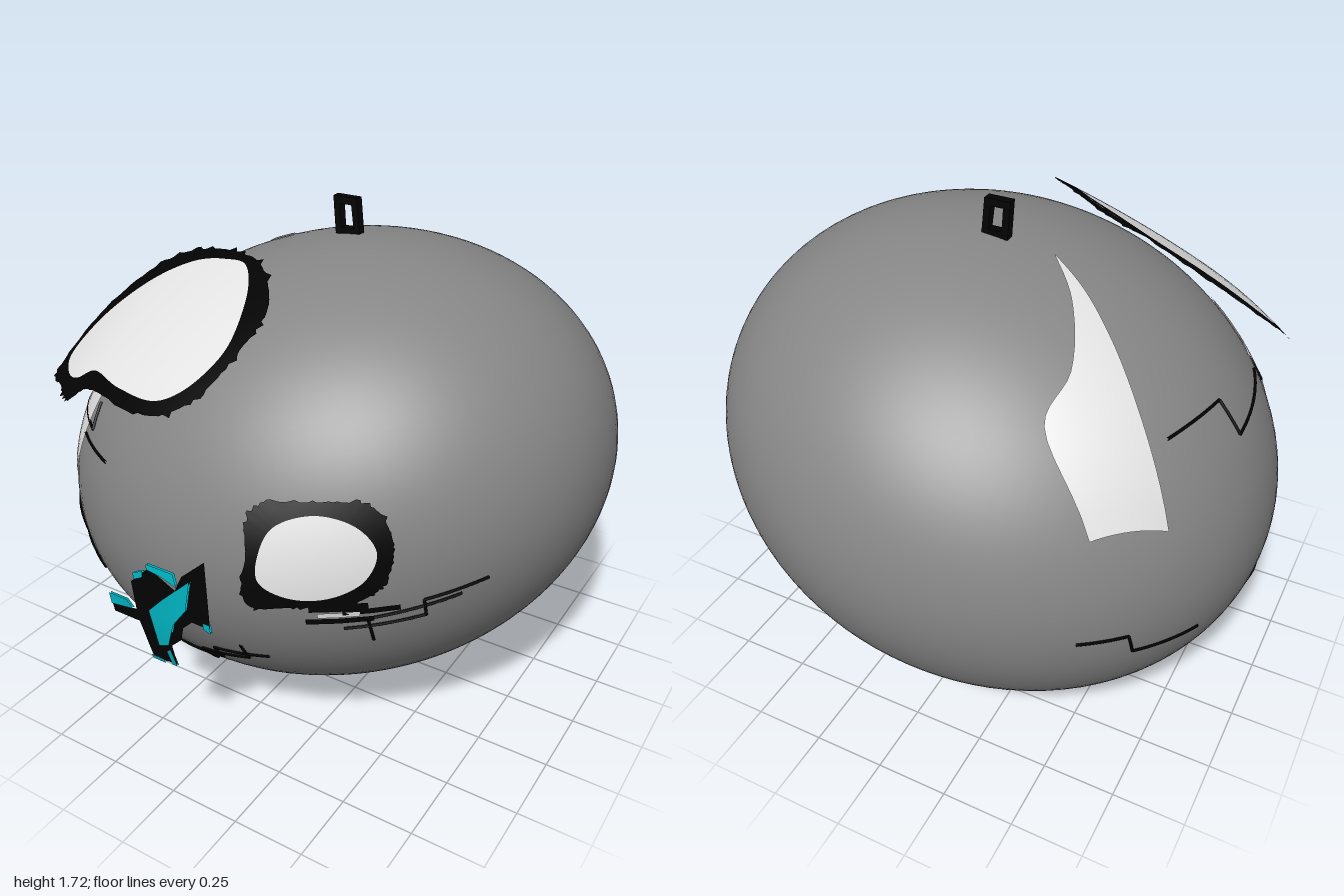
import * as THREE from 'three';

const mat = (name, color) => new THREE.MeshStandardMaterial({ name, color, side: THREE.DoubleSide });

// Body: an ellipsoid tilted about z
const R = new THREE.Vector3(0.995, 0.778, 0.932), TILT = 0.304;
const CENTRE = new THREE.Vector3(0, 0.8, -0.065);
const c = Math.cos(TILT), s = Math.sin(TILT);
const A = (c / R.x) ** 2 + (s / R.y) ** 2;
const C = (s / R.x) ** 2 + (c / R.y) ** 2;
const B = c * s * (1 / R.x ** 2 - 1 / R.y ** 2);

// Points on the body seen from the front, or from above (side 1) or below (side -1)
const front = (lift) => (x, y) => {
  const d = y - CENTRE.y;
  const q = A * x * x + 2 * B * x * d + C * d * d;
  return new THREE.Vector3(x, y, CENTRE.z + R.z * Math.sqrt(Math.max(0, lift * lift - q)));
};
const vertical = (side, lift) => (x, z) => {
  const k = lift * lift - ((z - CENTRE.z) / R.z) ** 2;
  const root = Math.sqrt(Math.max(0, B * B * x * x - C * (A * x * x - k)));
  return new THREE.Vector3(x, CENTRE.y + (-B * x + side * root) / C, z);
};
// Push a point radially onto the body
const snap = (p, lift) => {
  const v = p.clone().sub(CENTRE);
  const q = A * v.x * v.x + 2 * B * v.x * v.y + C * v.y * v.y + (v.z / R.z) ** 2;
  return v.multiplyScalar(lift / Math.sqrt(q)).add(CENTRE);
};

// Skin between two edges of equal length, placed by a surface rule
function loft(from, to, place, rows) {
  const pos = [], index = [], n = from.length;
  for (let r = 0; r <= rows; r++) {
    for (let i = 0; i < n; i++) {
      const t = r / rows;
      const p = place(from[i][0] * (1 - t) + to[i][0] * t, from[i][1] * (1 - t) + to[i][1] * t);
      pos.push(p.x, p.y, p.z);
      if (r < rows && i < n - 1) {
        const a = r * n + i;
        index.push(a, a + n, a + 1, a + 1, a + n, a + n + 1);
      }
    }
  }
  const g = new THREE.BufferGeometry();
  g.setAttribute('position', new THREE.Float32BufferAttribute(pos, 3));
  g.setIndex(index);
  g.computeVertexNormals();
  return g;
}

const smooth = (pts, n, closed) => new THREE.CatmullRomCurve3(
  pts.map(([x, y]) => new THREE.Vector3(x, y, 0)), closed, 'centripetal').getPoints(n).map((p) => [p.x, p.y]);
const ellipse = (x, z, rx, rz) => Array.from({ length: 73 }, (_, i) => {
  const a = i / 72 * Math.PI * 2;
  return [x + rx * Math.cos(a), z + rz * Math.sin(a)];
});

export function createModel() {
  const model = new THREE.Group();
  const grey = mat('body grey', 0x868686), black = mat('black', 0x030303), white = mat('eye white', 0xfafafa);
  const shine = mat('highlight', 0xe4e4e4), cyan = mat('nose cyan', 0x00bccb);
  const teal = mat('mouth teal', 0x00cdd4), purple = mat('mouth purple', 0x9a2ca0);
  const add = (name, geometry, material, parent = model) => {
    const m = new THREE.Mesh(geometry, material);
    m.name = name;
    parent.add(m);
    return m;
  };
  let seed = 7;
  const rand = () => (seed = (seed * 16807) % 2147483647) / 2147483647;

  const body = add('body', new THREE.SphereGeometry(1, 96, 64), grey);
  body.scale.copy(R);
  body.rotation.z = TILT;
  body.position.copy(CENTRE);

  // Eyes: white plate with a ragged black rim, standing clear of the body
  function eye(name, centre, inner, outer, place) {
    const g = new THREE.Group();
    g.name = name;
    model.add(g);
    const a = smooth(inner, 140, true);
    const b = smooth(outer, 140, true).map(([x, y]) => {
      const k = 1 + 0.06 * rand() ** 4;
      return [centre[0] + (x - centre[0]) * k, centre[1] + (y - centre[1]) * k];
    });
    b[140] = b[0];
    add('eyeWhite', loft(a.map(() => centre), a, place, 8), white, g);
    add('eyeRim', loft(a, b, place, 2), black, g);
  }
  eye('rightEye', [-0.37, 1.38],
    [[-.79, 1.175], [-.755, 1.265], [-.6, 1.41], [-.42, 1.51], [-.25, 1.56], [-.12, 1.575], [-.03, 1.53],
      [.01, 1.44], [-.04, 1.35], [-.15, 1.275], [-.36, 1.245], [-.54, 1.23], [-.62, 1.185], [-.7, 1.165]],
    [[-.825, 1.115], [-.785, 1.275], [-.61, 1.45], [-.41, 1.54], [-.2, 1.585], [-.05, 1.59], [.08, 1.53],
      [.06, 1.44], [0, 1.33], [-.13, 1.245], [-.36, 1.215], [-.53, 1.19], [-.6, 1.14], [-.72, 1.13]],
    (x, y) => {
      const dx = x + 0.37, r2 = (dx / 0.47) ** 2 + ((y - 1.38 - 0.4 * dx) / 0.2) ** 2;
      const z = 0.83 + 0.66 * (x + 0.14) - 1.6 * (y - 1.23) + 0.06 * (1 - Math.min(r2, 2));
      return new THREE.Vector3(x, y, z - 0.5 * Math.max(0, -0.5 - x) ** 2);
    });
  const leftPlace = (x, y) => {
    const p = front(1)(x, y);
    p.z += 0.09 - 0.15 * (x - 0.27);
    return p;
  };
  eye('leftEye', [0.44, 0.96],
    [[.33, 1.05], [.425, 1.085], [.53, 1.05], [.585, .97], [.56, .88], [.48, .83], [.385, .83], [.305, .88], [.3, .97]],
    [[.27, 1.095], [.42, 1.12], [.56, 1.1], [.62, .98], [.6, .86], [.53, .805], [.4, .8], [.275, .8], [.268, .96]],
    leftPlace);
  // Dashes under the left eye
  for (const [x0, x1, y, h, m] of [[.43, .57, .78, .027, black], [.51, .64, .765, .02, black],
    [.42, .58, .733, .02, black], [.45, .55, .757, .018, shine]]) {
    const row = (v) => [[x0, v], [(x0 + x1) / 2, v], [x1, v]];
    add('underEyeDash', loft(row(y), row(y + h), leftPlace, 1), m);
  }

  // Highlights on the side and back
  add('sideHighlight', loft(smooth([[-.75, 1.13], [-.54, 1.19]], 8), smooth([[-.82, .87], [-.67, .815]], 8), front(1.006), 16), shine);
  add('backHighlight', loft(
    smooth([[-.19, -.09], [-.33, -.17], [-.475, -.28], [-.63, -.41], [-.78, -.53]], 24),
    smooth([[-.19, -.09], [-.32, -.24], [-.415, -.45], [-.41, -.615], [-.605, -.715]], 24), vertical(1, 1.006), 12), shine);

  // Mouth: disc, ring and outlines on the underside
  const disc = ellipse(-.05, .195, .305, .285), rim = ellipse(-.055, .188, .395, .367);
  add('mouth', loft(disc.map(() => [-.05, .195]), disc, vertical(-1, 1.003), 10), purple);
  add('mouthRing', loft(disc, rim, vertical(-1, 1.003), 4), teal);
  add('mouthInnerLine', loft(ellipse(-.05, .195, .302, .282), ellipse(-.05, .195, .308, .288), vertical(-1, 1.005), 1), black);
  add('mouthOuterLine', loft(rim, ellipse(-.055, .188, .4, .372), vertical(-1, 1.004), 1), black);

  // Nose: layered plates bent back toward the bottom, the cyan showing on both faces
  const nose = new THREE.Group();
  nose.name = 'nose';
  model.add(nose);
  function plate(name, pts, material, lifts) {
    for (const lift of lifts) {
      const g = new THREE.ShapeGeometry(new THREE.Shape(pts.map(([x, y]) => new THREE.Vector2(x, y))));
      const p = g.attributes.position;
      for (let i = 0; i < p.count; i++) p.setZ(i, 0.994 + lift - 0.46 * Math.max(0, 0.85 - p.getY(i)) ** 2);
      g.computeVertexNormals();
      add(name, g, material, nose);
    }
  }
  const both = [0.004, -0.004];
  plate('noseBlack', [[-.1, .79], [-.06, .83], [-.03, .86], [.01, .85], [.07, .82], [.1, .88], [.187, .96], [.187, .72], [.12, .72],
    [.08, .68], [.06, .62], [.01, .57], [0, .47], [-.1, .46], [-.1, .63], [-.2, .63], [-.2, .67], [-.1, .68]], black, [0]);
  plate('noseCyan', [[-.045, .545], [-.045, .7], [.02, .77], [.13, .875], [.105, .76], [.045, .68], [0, .57]], cyan, both);
  plate('noseTopEdge', [[-.03, .88], [.07, .88], [.08, .835], [.02, .855], [-.03, .86]], cyan, both);
  plate('noseTopCorner', [[-.085, .83], [-.045, .85], [-.05, .825], [-.085, .805]], cyan, both);
  plate('noseSideEdge', [[-.2, .71], [-.13, .71], [-.11, .68], [-.2, .665]], cyan, both);
  plate('noseRightEdge', [[.165, .74], [.19, .74], [.19, .705], [.165, .715]], cyan, both);
  plate('noseBottomEdge', [[-.1, .475], [-.05, .475], [-.05, .455], [-.1, .455]], cyan, both);
  plate('noseBottomSide', [[-.02, .53], [0, .55], [0, .465], [-.02, .465]], cyan, both);

  // Thin zigzag lines following the body
  function zigzag(name, pts) {
    for (let i = 0; i < pts.length - 1; i++) {
      const path = Array.from({ length: 9 }, (_, k) => snap(pts[i].clone().lerp(pts[i + 1], k / 8), 1.003));
      add(name, new THREE.TubeGeometry(new THREE.CatmullRomCurve3(path), 10, 0.005, 5), black);
    }
  }
  for (const pts of [
    [[-.79, .99], [-.55, 1.02], [-.55, 1.1]],
    [[-.62, .975], [-.4, .99]],
    [[-.79, .665], [-.665, .66], [-.665, .565], [-.545, .565], [-.545, .48]],
    [[-.2, .315], [.015, .365], [.015, .435], [.22, .47]],
    [[-.06, .285], [-.06, .38], [.14, .43], [.14, .51]],
    [[.48, .67], [.68, .71], [.68, .775], [.815, .815]],
    [[.545, .61], [.545, .715], [.76, .775]],
  ]) zigzag('cheekLine', pts.map(([x, y]) => front(1)(x, y)));
  zigzag('upperSideLine', [[-.7, -.38], [-.77, -.11], [-.85, -.11], [-.84, .05], [-.78, .27]].map(([x, z]) => vertical(1, 1)(x, z)));
  for (const pts of [
    [[-.6, .69, -.78], [-.72, .68, -.67], [-.725, .6, -.645], [-.81, .59, -.415]],
    [[-.91, .5, .15], [-.938, .5, -.05], [-.92, .41, -.08], [-.89, .42, .15]],
  ]) zigzag('lowerSideLine', pts.map((p) => new THREE.Vector3(...p)));

  // Hanging loop on top
  const v2 = (pts) => pts.map(([x, y]) => new THREE.Vector2(x, y));
  const loop = new THREE.Shape(v2([[-.045, 1.585], [.048, 1.585], [.035, 1.715], [-.055, 1.715]]));
  loop.holes.push(new THREE.Path(v2([[-.024, 1.61], [-.03, 1.69], [.014, 1.69], [.024, 1.61]])));
  const loopMesh = add('topLoop', new THREE.ExtrudeGeometry(loop, { depth: 0.032, bevelEnabled: false }), black);
  loopMesh.position.z = -0.125;

  return model;
}
